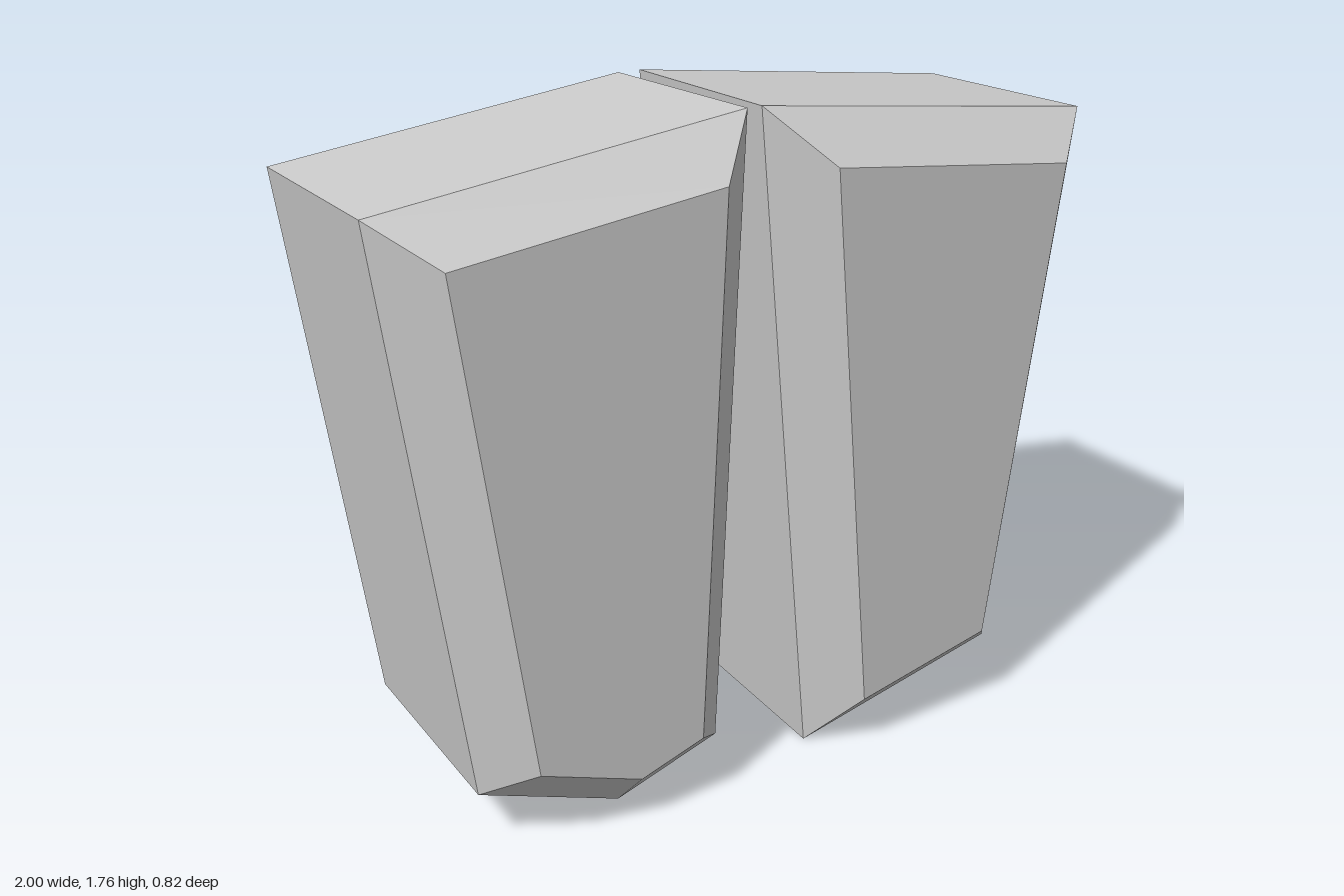
import * as THREE from 'three';

const material = new THREE.MeshStandardMaterial({ color: 0xcccccc, flatShading: true });

// Skin a closed solid over rings of equal length, ordered front to back,
// each counter-clockwise as seen from the front.
function skin(rings) {
  const pos = [];
  const tri = (a, b, c) => pos.push(...a, ...b, ...c);
  const n = rings[0].length;
  for (let r = 0; r < rings.length - 1; r++) {
    const f = rings[r], k = rings[r + 1];
    for (let i = 0; i < n; i++) {
      const j = (i + 1) % n;
      tri(f[i], k[i], k[j]);
      tri(f[i], k[j], f[j]);
    }
  }
  const first = rings[0], last = rings[rings.length - 1];
  for (let i = 1; i < n - 1; i++) {
    tri(first[0], first[i], first[i + 1]);
    tri(last[0], last[i + 1], last[i]);
  }
  const geometry = new THREE.BufferGeometry();
  geometry.setAttribute('position', new THREE.Float32BufferAttribute(pos, 3));
  geometry.computeVertexNormals();
  return geometry;
}

// A tapered block: bevelled front face, body, slightly smaller bevelled back.
function makeTooth(name, centreX, outline, face) {
  const ring = (points, z, s) => points.map(([x, y]) =>
    [centreX + (x - centreX) * s, 0.885 + (y - 0.885) * s, z]);
  const mesh = new THREE.Mesh(skin([
    ring(face, 0.41, 1),
    ring(outline, 0.285, 1),
    ring(outline, -0.3, 0.977),
    ring(face, -0.415, 0.957),
  ]), material);
  mesh.name = name;
  return mesh;
}

export function createModel() {
  const group = new THREE.Group();
  group.name = 'teeth';

  // Right tooth, with a pointed lower edge
  group.add(makeTooth('rightTooth', -0.513,
    [[-1, 1.645], [-0.795, 0.16], [-0.405, 0.012], [-0.11, 0.11], [-0.03, 1.765]],
    [[-0.865, 1.54], [-0.685, 0.245], [-0.405, 0.14], [-0.225, 0.2], [-0.16, 1.625]]));

  // Left tooth, with a slanted lower edge
  group.add(makeTooth('leftTooth', 0.504,
    [[0.01, 1.765], [0.175, 0], [0.79, 0.145], [1, 1.645]],
    [[0.148, 1.625], [0.282, 0.153], [0.68, 0.245], [0.86, 1.54]]));

  return group;
}
